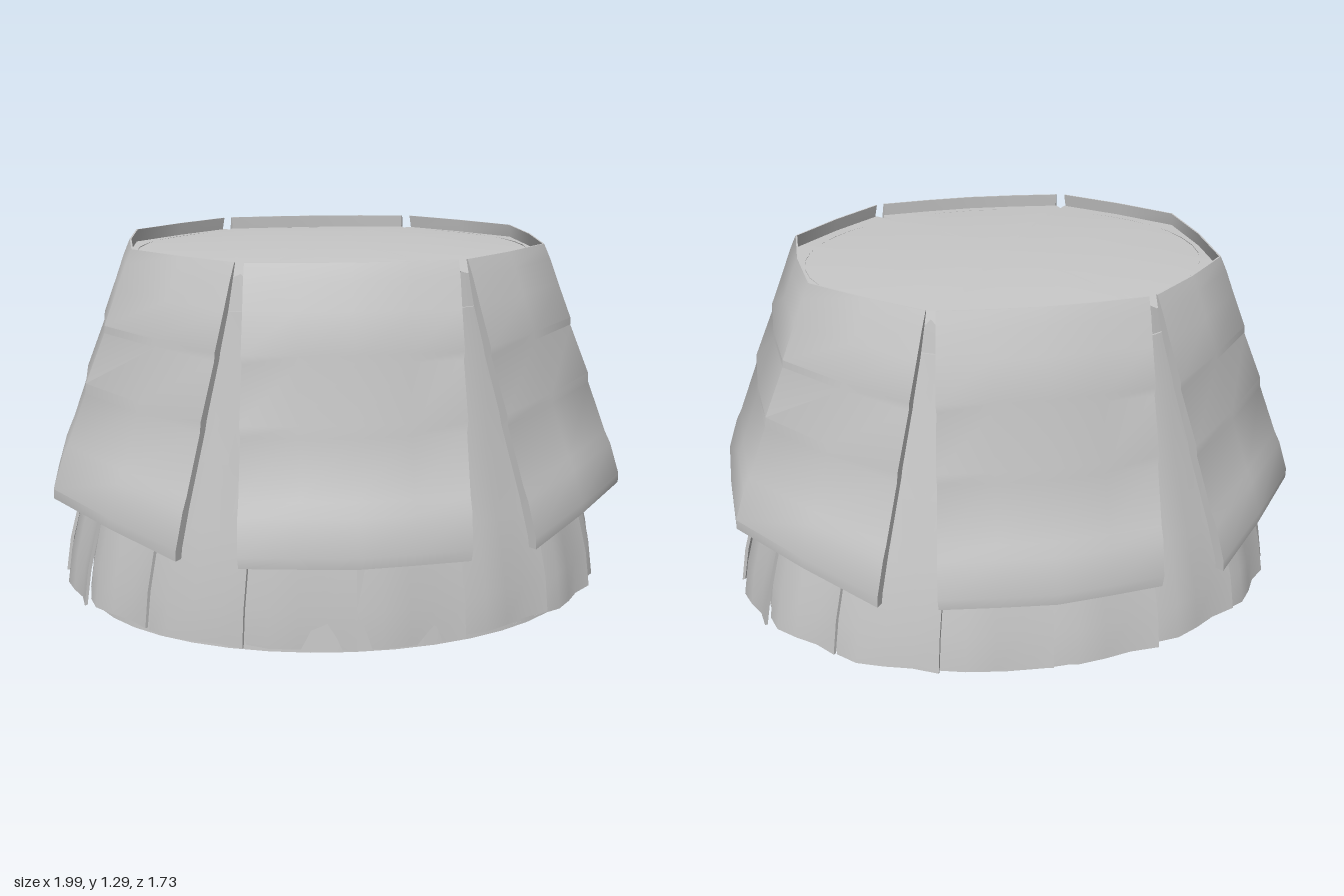
import * as THREE from 'three';
import { toCreasedNormals } from 'three/addons/utils/BufferGeometryUtils.js';

const TOP = 1.29;

// Curved plate: each column is [topX, topZ, bottomX, bottomZ, bottomY];
// each row is [fraction down the plate, outward offset, thickness].
function plateGeometry(columns, rows, topY) {
  const m = columns.length, n = 2 * m;
  const pos = [], index = [];
  rows.forEach(([t, out, thickness]) => {
    for (let j = 0; j < n; j++) {
      const inner = j >= m;
      const [tx, tz, bx, bz, by] = columns[inner ? n - 1 - j : j];
      const x = tx + (bx - tx) * t, z = tz + (bz - tz) * t;
      const k = 1 + (inner ? out - thickness : out) / Math.hypot(x, z);
      pos.push(x * k, topY + (by - topY) * t, z * k);
    }
  });
  for (let i = 0; i < rows.length - 1; i++) {
    for (let j = 0; j < n; j++) {
      const a = i * n + j, b = i * n + (j + 1) % n;
      index.push(a, a + n, b, b, a + n, b + n);
    }
  }
  const last = (rows.length - 1) * n;
  for (let j = 0; j < m - 1; j++) {
    const a = j, b = j + 1, c = n - 2 - j, d = n - 1 - j;
    index.push(a, b, c, a, c, d);
    index.push(last + a, last + c, last + b, last + a, last + d, last + c);
  }
  const g = new THREE.BufferGeometry();
  g.setAttribute('position', new THREE.Float32BufferAttribute(pos, 3));
  g.setIndex(index);
  return toCreasedNormals(g, 0.7);
}

// Oval shell turned from a profile, flatter from front to back
function ovalGeometry(profile) {
  const g = new THREE.LatheGeometry(profile.map(([x, y]) => new THREE.Vector2(x, y)), 40);
  const p = g.attributes.position;
  for (let i = 0; i < p.count; i++) {
    p.setZ(i, p.getZ(i) * (0.87 - 0.1 * (1 - p.getY(i) / TOP)));
  }
  g.computeVertexNormals();
  return g;
}

// Shallow dome over an outline of [x, z] points
function coverGeometry(outline) {
  const n = outline.length, pos = [0, 1.275, 0], index = [];
  for (const s of [0.5, 0.8, 1]) {
    for (const [x, z] of outline) pos.push(x * s, 1.275 - 0.03 * s * s, z * s);
  }
  for (let j = 0; j < n; j++) {
    const k = (j + 1) % n;
    index.push(0, 1 + j, 1 + k);
    for (let r = 0; r < 2; r++) {
      const a = 1 + r * n + j, b = 1 + r * n + k;
      index.push(a, a + n, b, b, a + n, b + n);
    }
  }
  const g = new THREE.BufferGeometry();
  g.setAttribute('position', new THREE.Float32BufferAttribute(pos, 3));
  g.setIndex(index);
  g.computeVertexNormals();
  return g;
}

export function createModel() {
  const model = new THREE.Group();
  model.name = 'armouredSkirt';
  const grey = new THREE.MeshStandardMaterial({ color: 0xc8c8c8, side: THREE.DoubleSide });
  grey.name = 'plain grey';
  const add = (name, geometry) => {
    const mesh = new THREE.Mesh(geometry, grey);
    mesh.name = name;
    model.add(mesh);
    return mesh;
  };

  // Hollow lining, with a flat web under its left side
  add('lining', ovalGeometry([[0.9, 0], [0.86, 0.3], [0.8, 0.65], [0.74, 1], [0.69, 1.25]]));
  const web = new THREE.Shape().absellipse(0, 0, 0.9, 0.69, -1.04, 1.5, false, 0);
  web.lineTo(0.3, 0.23);
  add('liningWeb', new THREE.ShapeGeometry(web, 16).rotateX(Math.PI / 2)).position.y = 0.01;

  // Overlapping pleats, each swelling and lifting one edge over its neighbour
  const pleatRows = [[0, -0.01, 0.01], [0.45, -0.004, 0.01], [0.65, 0.008, 0.012], [0.88, 0.012, 0.012], [1, 0, 0.01]];
  const pleats = 16;
  for (let i = 0; i < pleats; i++) {
    const columns = [];
    for (let j = 0; j <= 4; j++) {
      const a = ((i + j / 4 * 1.03) / pleats) * Math.PI * 2;
      const side = Math.sin(a), front = Math.cos(a);
      const square = front < 0 ? 0.05 * Math.abs(side * front) : 0;
      const lift = 1 + 0.03 * (j / 4) + 0.018 * Math.sin(j * Math.PI / 2) + square;
      const depth = front > 0 ? 0.68 : 0.755;
      columns.push([
        side * 0.73, front * 0.63,
        side * 0.955 * lift, front * depth * lift,
        0.055 - 0.05 * Math.max(0, front) + 0.02 * (i % 2) * Math.abs(side),
      ]);
    }
    add('pleat', plateGeometry(columns, pleatRows, 1.12));
  }

  // Armour panels: softly stepped bands ending in a thicker hem
  const armourRows = [
    [0, 0, 0.006], [0.06, 0.005, 0.018], [0.16, 0.007, 0.03], [0.3, 0.012, 0.035],
    [0.33, 0.004, 0.03], [0.53, 0.014, 0.035], [0.57, 0.005, 0.03],
    [0.78, 0.01, 0.03], [0.83, 0.016, 0.035], [0.96, 0.012, 0.035], [1, 0, 0.03],
  ];
  const frontColumns = [
    [-0.34, 0.62, -0.38, 0.815, 0.35], [-0.17, 0.64, -0.19, 0.84, 0.35],
    [0, 0.65, 0, 0.86, 0.35],
    [0.17, 0.64, 0.18, 0.84, 0.35], [0.34, 0.62, 0.365, 0.815, 0.35],
  ];
  add('frontPanel', plateGeometry(frontColumns, armourRows, TOP));
  add('backPanel', plateGeometry(frontColumns, armourRows, TOP)).rotation.y = Math.PI;

  // Three-sided panels over the hips
  const sideColumns = [
    [0.37, 0.61, 0.575, 0.81, 0.38], [0.54, 0.45, 0.79, 0.56, 0.41],
    [0.7, 0.27, 0.99, 0.3, 0.44], [0.715, 0, 0.995, 0, 0.44],
    [0.7, -0.27, 0.99, -0.3, 0.44],
    [0.54, -0.45, 0.79, -0.56, 0.41], [0.37, -0.61, 0.575, -0.81, 0.38],
  ];
  add('leftPanel', plateGeometry(sideColumns, armourRows, TOP));
  add('rightPanel', plateGeometry(sideColumns, armourRows, TOP)).rotation.y = Math.PI;

  // Waist cover meeting the panels near their top edges, notched at the gaps
  const half = [...frontColumns, [0.35, 0.55], ...sideColumns, [0.35, -0.55]].map(([x, z]) => [x, z]);
  add('waistCover', coverGeometry([...half, ...half.map(([x, z]) => [-x, -z])]));

  return model;
}
